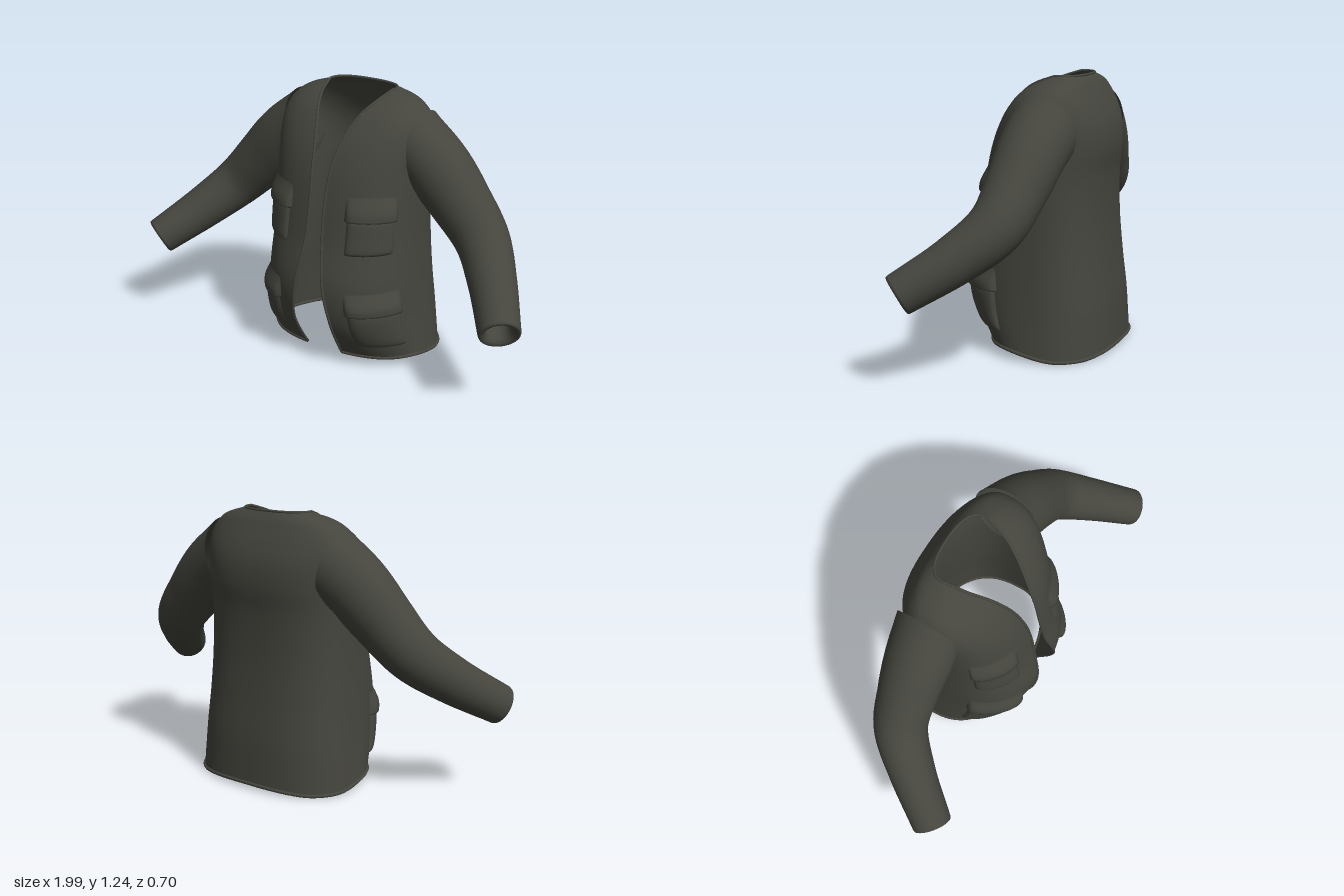
import * as THREE from 'three';
import { mergeVertices } from 'three/addons/utils/BufferGeometryUtils.js';

const { smoothstep, lerp, degToRad } = THREE.MathUtils;

// Smooth interpolation of a small table whose first column is the parameter
function table(rows) {
  const n = rows[0].length - 1;
  const spline = new THREE.CubicInterpolant(rows.map(r => r[0]), rows.flatMap(r => r.slice(1)), n);
  return t => Array.from(spline.evaluate(t));
}

// Smooth surface from a rule (u, v) -> point, u and v in 0..1
function surface(nu, nv, rule) {
  const pos = [], index = [];
  for (let j = 0; j <= nv; j++) {
    for (let i = 0; i <= nu; i++) pos.push(...rule(i / nu, j / nv).toArray());
  }
  for (let j = 0; j < nv; j++) {
    for (let i = 0; i < nu; i++) {
      const a = j * (nu + 1) + i, b = a + 1, c = a + nu + 1, d = c + 1;
      index.push(a, b, d, a, d, c);
    }
  }
  let g = new THREE.BufferGeometry();
  g.setAttribute('position', new THREE.Float32BufferAttribute(pos, 3));
  g.setIndex(index);
  g = mergeVertices(g, 1e-5);
  g.computeVertexNormals();
  return g;
}

// Torso sections: height, half width, front z, back z, centre z, half gap
const TOP = 1.23;
const section = table([
  [0.00, 0.397, 0.215, -0.347, -0.06, 0.095],
  [0.10, 0.388, 0.265, -0.342, -0.06, 0.10],
  [0.22, 0.377, 0.315, -0.335, -0.06, 0.10],
  [0.40, 0.364, 0.335, -0.315, -0.05, 0.075],
  [0.60, 0.354, 0.290, -0.298, -0.05, 0.045],
  [0.80, 0.352, 0.253, -0.298, -0.05, 0.040],
  [0.92, 0.354, 0.223, -0.310, -0.06, 0.048],
  [1.02, 0.362, 0.180, -0.300, -0.07, 0.063],
  [1.10, 0.357, 0.130, -0.270, -0.08, 0.088],
  [1.16, 0.325, 0.075, -0.238, -0.09, 0.117],
  [1.20, 0.268, 0.010, -0.214, -0.10, 0.146],
  [TOP, 0.170, -0.070, -0.188, -0.10, 0.167],
]);
const E = 0.8;

// Point on the left half at an angle: -90 degrees is back centre, 0 the side
function bodyPoint(angle, y, out = 0) {
  const [w, zf, zb, zc] = section(y);
  const s = Math.sin(angle);
  const x = w * Math.pow(Math.max(Math.cos(angle), 0), E);
  const z = zc + (s > 0 ? zf - zc : zc - zb) * Math.sign(s) * Math.pow(Math.abs(s), E);
  // The hem rises at the front and slightly at the back centre
  const hem = lerp(0.008, 0.048, smoothstep(z, -0.2, 0.1))
    + (z < -0.2 ? 0.015 * Math.max(0, 1 - (x / 0.3) ** 2) : 0);
  const fade = Math.max(0, 1 - y / 0.4) ** 2;
  const p = new THREE.Vector3(x, y + hem * fade, z);
  if (out) p.add(new THREE.Vector3(x, 0, z - zc).normalize().multiplyScalar(out));
  return p;
}

// Whole torso: u runs from the right front edge round the back to the left one
function torsoPoint(u, v) {
  const y = TOP * (1 - Math.pow(1 - v, 1.5));
  const [w, , , , gap] = section(y);
  const end = Math.acos(Math.pow(Math.min(gap / w, 1), 1 / E));
  const k = 2 * u - 1;
  const p = bodyPoint(lerp(-Math.PI / 2, end, Math.abs(k)), y);
  if (k < 0) p.x *= -1;
  return p;
}

// Raised patch on the front, its depth set by a rule over s, t in -1..1
function patch(a0, a1, y0, y1, depth) {
  return surface(28, 20, (u, v) => bodyPoint(
    degToRad(lerp(a0, a1, u)), lerp(y0, y1, v), depth(2 * u - 1, 2 * v - 1)));
}
const pouch = d => (s, t) => -0.004 + d * Math.sqrt((1 - s ** 6) * (1 - t ** 6));
const flap = d => (s, t) => t <= -0.999 ? -0.004
  : -0.004 + d * Math.sqrt(1 - s ** 8) * (1 - smoothstep(t, -0.6, 1));

// Sleeve: centre line and radii along its length
const sleeveLine = new THREE.CatmullRomCurve3([
  [0.31, 1.00, -0.09], [0.40, 0.93, -0.08], [0.525, 0.80, -0.065],
  [0.66, 0.66, -0.03], [0.78, 0.54, 0.095], [0.915, 0.412, 0.28],
].map(p => new THREE.Vector3(...p)));
const sleeveRadii = table([
  [0, 0.165, 0.155], [0.15, 0.152, 0.147], [0.35, 0.135, 0.13],
  [0.58, 0.115, 0.115], [0.8, 0.1, 0.1], [1, 0.088, 0.09],
]);
function ringPoint(u, t, scale = 1, shift = 0) {
  const c = sleeveLine.getPointAt(t);
  const dir = new THREE.Vector3(1, -0.2, 0).normalize()
    .lerp(sleeveLine.getTangentAt(t), smoothstep(t, 0, 0.3)).normalize();
  const n1 = new THREE.Vector3(0, 0, 1).addScaledVector(dir, -dir.z).normalize();
  const n2 = new THREE.Vector3().crossVectors(dir, n1);
  const [ry, rz] = sleeveRadii(t);
  const a = u * Math.PI * 2;
  return c.addScaledVector(n1, Math.cos(a) * rz * scale)
    .addScaledVector(n2, Math.sin(a) * ry * scale).addScaledVector(dir, shift);
}

// Cuff rim turning into the sleeve: scale and shift along the arm
const cuffProfile = [[1, 0], [0.97, 0.008], [0.88, 0.011], [0.74, 0.004], [0.64, -0.01], [0.6, -0.04], [0.66, -0.1]];

export function createModel() {
  const model = new THREE.Group();
  const cloth = new THREE.MeshStandardMaterial({ color: 0x45453e, side: THREE.DoubleSide });
  cloth.name = 'dark olive cloth';

  const add = (name, geometry, parent = model) => {
    const m = new THREE.Mesh(geometry, cloth);
    m.name = name;
    parent.add(m);
  };

  // Open-fronted body
  add('body', surface(96, 64, torsoPoint));

  // Rolled edges round the hem, neck and front opening
  const edge = (name, rule, r) => {
    const pts = Array.from({ length: 41 }, (_, i) => rule(i / 40));
    add(name, new THREE.TubeGeometry(new THREE.CatmullRomCurve3(pts), 90, r, 8));
  };
  edge('hemEdge', t => torsoPoint(t, 0), 0.008);
  edge('neckEdge', t => torsoPoint(t, 1), 0.006);
  edge('rightFrontEdge', t => torsoPoint(0, t), 0.006);
  edge('leftFrontEdge', t => torsoPoint(1, t), 0.006);

  // Sleeves, cuffs and pockets, mirrored to both sides
  const parts = {
    Sleeve: surface(40, 48, (u, v) => ringPoint(u % 1, v)),
    Cuff: surface(40, cuffProfile.length - 1, (u, v) => {
      const [s, d] = cuffProfile[Math.round(v * (cuffProfile.length - 1))];
      return ringPoint(u % 1, 1, s, d);
    }),
    ChestPocket: patch(28, 70, 0.565, 0.735, pouch(0.02)),
    ChestFlap: patch(26, 72, 0.715, 0.85, flap(0.03)),
    HipPocket: patch(22, 66, 0.085, 0.31, pouch(0.024)),
    HipFlap: patch(20, 68, 0.285, 0.42, flap(0.034)),
  };
  for (const [side, sign] of [['left', 1], ['right', -1]]) {
    const half = new THREE.Group();
    half.name = side + 'Side';
    half.scale.x = sign;
    for (const [name, geometry] of Object.entries(parts)) add(side + name, geometry, half);
    model.add(half);
  }
  return model;
}
